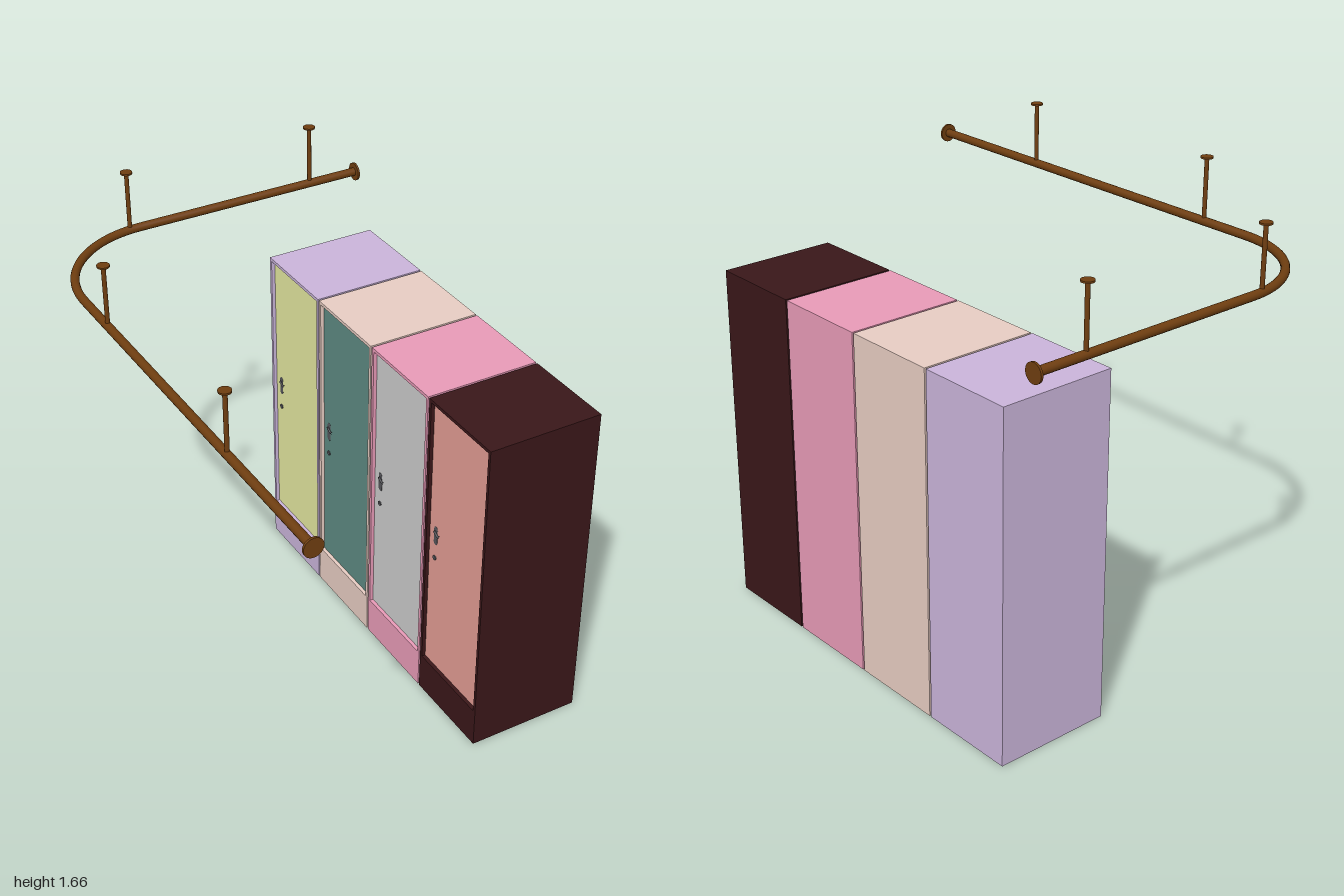
import * as THREE from 'three';

const mat = (color, extra = {}) => new THREE.MeshStandardMaterial({ color, ...extra });

function mesh(parent, name, geometry, material, x = 0, y = 0, z = 0) {
  const m = new THREE.Mesh(geometry, material);
  m.name = name;
  m.position.set(x, y, z);
  parent.add(m);
  return m;
}

// Locker size: width, height, depth, and depth of the door recess
const W = 0.36, H = 1.26, D = 0.432, RECESS = 0.018;
const SILL = 0.148, RIM = 0.012;

function rect(shape, x0, y0, x1, y1) {
  return shape.moveTo(x0, y0).lineTo(x1, y0).lineTo(x1, y1).lineTo(x0, y1).closePath();
}

// One locker whose door faces local +z
function createLocker(bodyColor, doorColor) {
  const g = new THREE.Group();
  g.name = 'locker';
  const body = mat(bodyColor), metal = mat(0x55555a);
  const front = D / 2, back = front - RECESS;

  mesh(g, 'lockerBody', new THREE.BoxGeometry(W, H, D - RECESS), body, 0, H / 2, -RECESS / 2);

  // Raised frame around the door opening
  const frame = rect(new THREE.Shape(), -W / 2, 0, W / 2, H);
  frame.holes.push(rect(new THREE.Path(), -W / 2 + RIM, SILL, W / 2 - RIM, H - RIM));
  mesh(g, 'doorFrame', new THREE.ExtrudeGeometry(frame, { depth: RECESS, bevelEnabled: false }), body, 0, 0, back);

  const doorH = H - RIM - SILL - 0.006;
  mesh(g, 'door', new THREE.BoxGeometry(W - 2 * RIM - 0.006, doorH, 0.006), mat(doorColor),
    0, SILL + 0.003 + doorH / 2, back + 0.003);

  // Handle: plate, spindle and lever, with a lock below
  const hx = -0.128, hz = back + 0.006;
  mesh(g, 'handlePlate', new THREE.CapsuleGeometry(0.011, 0.055, 4, 12), metal, hx, 0.72, hz).scale.z = 0.25;
  mesh(g, 'handleSpindle', new THREE.CylinderGeometry(0.005, 0.005, 0.008, 12).rotateX(Math.PI / 2), metal, hx, 0.738, hz + 0.004);
  const lever = new THREE.CatmullRomCurve3([
    new THREE.Vector3(0, 0.018, 0), new THREE.Vector3(0.012, 0.02, 0.003),
    new THREE.Vector3(0.024, 0.014, 0.003), new THREE.Vector3(0.034, 0.016, 0.002)]);
  mesh(g, 'handleLever', new THREE.TubeGeometry(lever, 12, 0.004, 8), metal, hx, 0.72, hz + 0.006);
  mesh(g, 'lock', new THREE.CylinderGeometry(0.009, 0.009, 0.004, 16).rotateX(Math.PI / 2), metal, hx, 0.625, hz + 0.002);
  return g;
}

// Curved rail hung from the ceiling
function createRail() {
  const g = new THREE.Group();
  g.name = 'curtainRail';
  const wood = mat(0x6f3e10);
  const X = -0.634, Z = -0.966, Y = 1.43, R = 0.39, endX = 0.662, endZ = 1;

  // Points along one side, round the corner and along the other side
  const pts = [new THREE.Vector3(X, Y, endZ)];
  for (let i = 0; i <= 24; i++) {
    const a = (i / 24) * Math.PI / 2;
    pts.push(new THREE.Vector3(X + R - R * Math.cos(a), Y, Z + R - R * Math.sin(a)));
  }
  pts.push(new THREE.Vector3(endX, Y, Z));
  const path = new THREE.CurvePath();
  for (let i = 1; i < pts.length; i++) path.add(new THREE.LineCurve3(pts[i - 1], pts[i]));
  mesh(g, 'railTube', new THREE.TubeGeometry(path, 160, 0.0155, 14), wood);

  // Wall flanges at both ends
  const flange = () => new THREE.CylinderGeometry(0.034, 0.034, 0.008, 28);
  mesh(g, 'frontFlange', flange().rotateX(Math.PI / 2), wood, X, Y, endZ - 0.004);
  mesh(g, 'sideFlange', flange().rotateZ(Math.PI / 2), wood, endX - 0.004, Y, Z);

  // Hanger rods with ceiling caps
  const top = 1.66;
  for (const [x, z] of [[X, 0.475], [X, -0.385], [-0.285, Z + 0.003], [0.46, Z]]) {
    mesh(g, 'hangerRod', new THREE.CylinderGeometry(0.008, 0.008, top - Y, 12), wood, x, (top + Y) / 2, z);
    mesh(g, 'ceilingCap', new THREE.CylinderGeometry(0.022, 0.022, 0.006, 20), wood, x, top - 0.003, z);
  }
  return g;
}

export function createModel() {
  const model = new THREE.Group();
  model.name = 'lockersAndRail';

  // Row of lockers, doors turned towards -x
  const colors = [[0x3a1719, 0xe49d94], [0xe99bb8, 0xc0c0c0], [0xe8cdc3, 0x5d8a82], [0xcbb5db, 0xe4e8a0]];
  colors.forEach(([body, door], i) => {
    const locker = createLocker(body, door);
    locker.rotation.y = -Math.PI / 2;
    locker.position.set(0.416, 0, 0.478 - i * 0.3677);
    model.add(locker);
  });

  model.add(createRail());
  return model;
}
